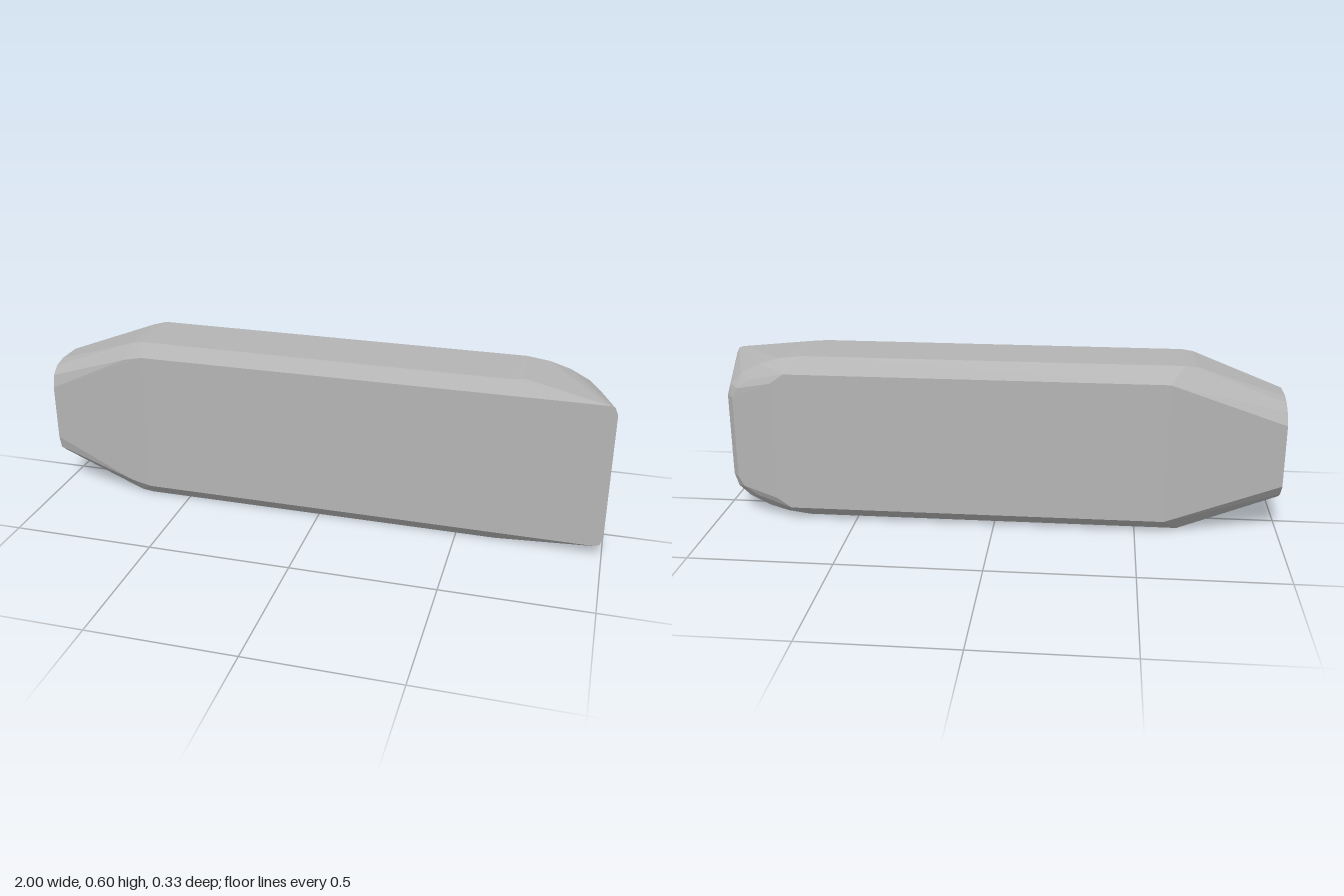
import * as THREE from 'three';
import { ConvexGeometry } from 'three/addons/geometries/ConvexGeometry.js';

const MID = 0.3; // height of the symmetry plane

// Each entry is [x, half height, z]; it is mirrored above and below the mid plane.
const nose = [ // narrow flat end with rounded corners
  [-1, 0.10, 0.157], [-1, 0.145, 0.146], [-1, 0.172, 0.115], [-1, 0.183, 0.07],
  [-1, 0.183, -0.03], [-1, 0.172, -0.075], [-1, 0.15, -0.11], [-1, 0.11, -0.14],
];
const shoulder = [ // full section where the nose taper begins
  [-0.71, 0.24, 0.161], [-0.64, 0.255, 0.162], [-0.69, 0.293, 0.125], [-0.65, 0.3, 0.122],
  [-0.69, 0.293, -0.08], [-0.65, 0.3, -0.098], [-0.6, 0.25, -0.163],
];
const rearShoulder = [ // full section before the wide end
  [0.64, 0.3, 0.125], [0.70, 0.299, 0.11], [0.68, 0.3, -0.1], [0.76, 0.29, -0.098],
  [0.73, 0.25, -0.163], [0.78, 0.215, -0.163],
];
const tail = [ // wide raked end, longest along the front face
  [0.975, 0.258, 0.163], [0.99, 0.252, 0.163], [1, 0.228, 0.163],
  [0.955, 0.15, -0.098], [0.94, 0.195, -0.1], [0.90, 0.232, -0.1], [0.83, 0.268, -0.1],
  [0.93, 0.15, -0.128], [0.91, 0.185, -0.132], [0.86, 0.22, -0.132],
];

export function createModel() {
  const group = new THREE.Group();
  group.name = 'model';

  const grey = new THREE.MeshStandardMaterial({ color: 0xb4b4b4 });
  grey.name = 'grey';

  // Chamfered block, hulled around the mirrored sections
  const points = [];
  for (const [x, h, z] of [...nose, ...shoulder, ...rearShoulder, ...tail]) {
    for (const side of [-1, 1]) points.push(new THREE.Vector3(x, MID + side * h, z));
  }
  const body = new THREE.Mesh(new ConvexGeometry(points), grey);
  body.name = 'body';
  group.add(body);
  return group;
}
